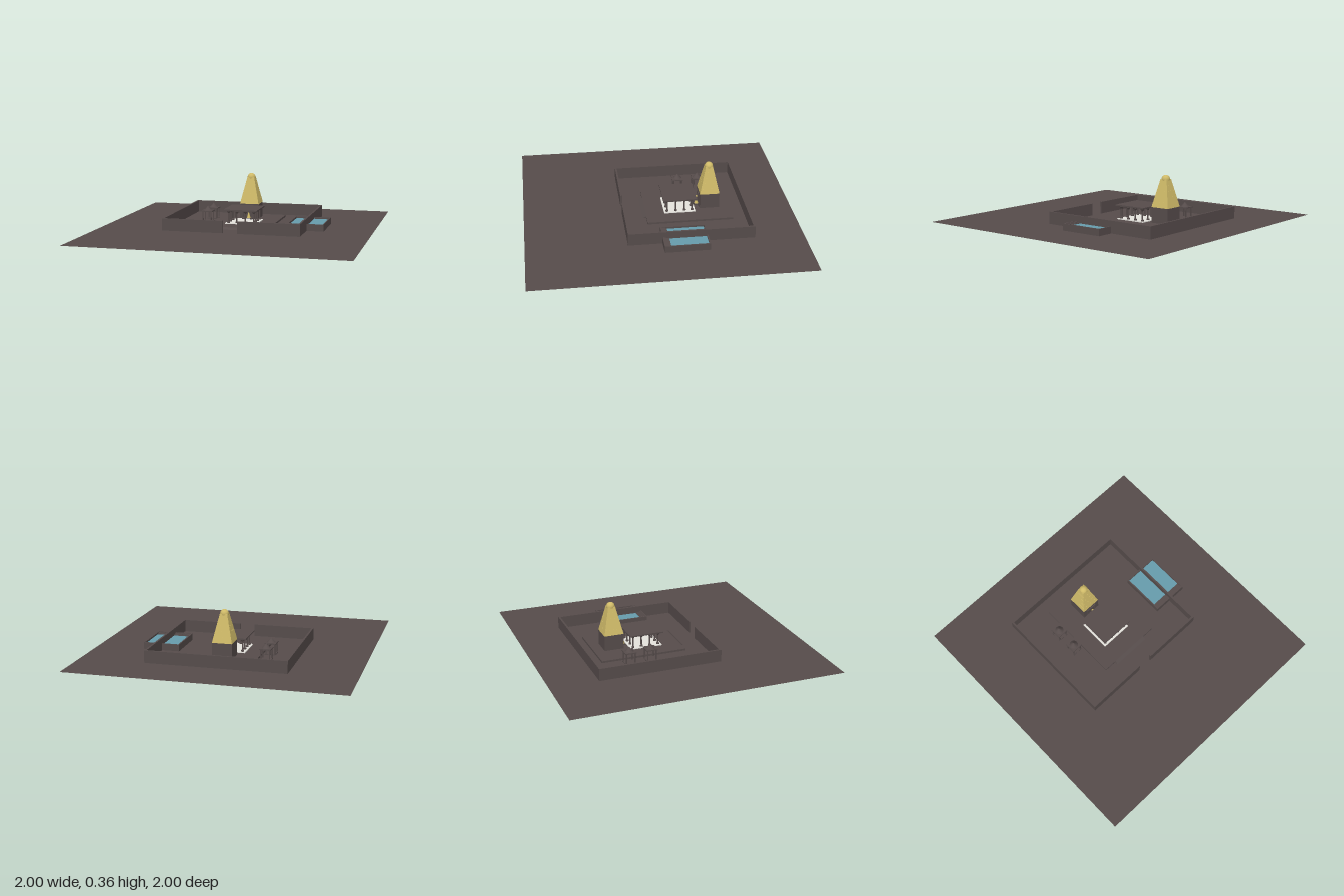
import * as THREE from 'three';

export function createModel() {
  const model = new THREE.Group();
  const material = (name, color, side = THREE.FrontSide) => {
    const m = new THREE.MeshStandardMaterial({ color, side });
    m.name = name;
    return m;
  };
  const stone = material('stone', 0x564c4b);
  const groundStone = material('groundStone', 0x564c4b, THREE.DoubleSide);
  const gold = material('gold', 0xcfba68);
  const water = material('water', 0x669cac);
  const marble = material('marble', 0xe4e2dc);

  const add = (name, geometry, mat, x = 0, y = 0, z = 0, parent = model) => {
    const mesh = new THREE.Mesh(geometry, mat);
    mesh.name = name;
    mesh.position.set(x, y, z);
    parent.add(mesh);
    return mesh;
  };
  // Box given by its lower and upper limits
  const block = (name, mat, x0, x1, y0, y1, z0, z1, parent = model) =>
    add(name, new THREE.BoxGeometry(x1 - x0, y1 - y0, z1 - z0), mat,
      (x0 + x1) / 2, (y0 + y1) / 2, (z0 + z1) / 2, parent);
  // Square frustum given by its side lengths
  const frustum = (bottom, top, h) => {
    const g = new THREE.CylinderGeometry(top * Math.SQRT1_2, bottom * Math.SQRT1_2, h, 4).toNonIndexed();
    g.rotateY(Math.PI / 4);
    g.computeVertexNormals();
    return g;
  };
  const group = (name, x = 0, y = 0, z = 0) => {
    const g = new THREE.Group();
    g.name = name;
    g.position.set(x, y, z);
    model.add(g);
    return g;
  };

  // Flat ground
  add('ground', new THREE.PlaneGeometry(2, 2).rotateX(-Math.PI / 2), groundStone);

  // Enclosure wall with a gate gap at the front
  const wall = group('enclosureWall');
  const t = 0.014, wallH = 0.09;
  block('backWall', stone, -0.515, 0.515, 0, wallH, -0.645, -0.645 + t, wall);
  for (const s of [-1, 1]) {
    const a = s * 0.515, b = s * (0.515 - t);
    block('sideWall', stone, Math.min(a, b), Math.max(a, b), 0, wallH, -0.645 + t, 0.275, wall);
    const c = s * 0.055;
    block('frontWall', stone, Math.min(b, c), Math.max(b, c), 0, wallH, 0.275 - t, 0.275, wall);
  }

  // Low platform with a shallow ramp
  const floorY = 0.014;
  block('platform', stone, -0.24, 0.24, 0, floorY, -0.537, 0.103);
  const rampShape = new THREE.Shape([
    new THREE.Vector2(0, 0), new THREE.Vector2(0.024, 0), new THREE.Vector2(0, floorY)]);
  const ramp = new THREE.ExtrudeGeometry(rampShape, { depth: 0.29, bevelEnabled: false });
  ramp.rotateY(-Math.PI / 2);
  add('ramp', ramp, stone, 0.145, 0, 0.103);

  // Pillared hall
  const hall = group('pillaredHall', 0, 0, -0.155);
  block('hallFloor', marble, -0.12, 0.12, floorY, floorY + 0.006, -0.12, 0.12, hall);
  block('hallRoof', stone, -0.128, 0.128, 0.114, 0.124, -0.128, 0.128, hall);
  const pillarShape = [[0.011, 0], [0.011, 0.01], [0.006, 0.014], [0.006, 0.075], [0.014, 0.088], [0.014, 0.095]]
    .map(([r, y]) => new THREE.Vector2(r, y));
  const pillarGeo = new THREE.LatheGeometry(pillarShape, 8).toNonIndexed();
  pillarGeo.computeVertexNormals();
  for (let i = 0; i < 4; i++) {
    for (let j = 0; j < 4; j++) {
      if (j > 0 && j < 3 && i > 0 && i < 3) continue;
      add('pillar', pillarGeo, stone, -0.097 + i * 0.0647, floorY + 0.005, -0.097 + j * 0.0647, hall);
    }
  }

  // Shrine with doorway and figure
  const shrine = group('shrine', 0, 0, -0.388);
  block('shrineBase', stone, -0.073, 0.073, floorY, 0.128, -0.073, 0.073, shrine);
  for (const s of [-1, 1]) {
    block('doorPost', stone, s * 0.036 - 0.005, s * 0.036 + 0.005, floorY, 0.1, 0.073, 0.081, shrine);
  }
  block('doorLintel', stone, -0.041, 0.041, 0.1, 0.11, 0.073, 0.081, shrine);
  add('figureBody', new THREE.ConeGeometry(0.015, 0.05, 10), gold, 0, 0.047, 0.09, shrine);
  add('figureHead', new THREE.SphereGeometry(0.009, 10, 8), gold, 0, 0.078, 0.09, shrine);
  block('figurePedestal', stone, -0.02, 0.02, floorY, 0.022, 0.073, 0.107, shrine);

  // Stepped golden tower
  const tierH = 0.0405;
  for (let i = 0; i < 5; i++) {
    const w = 0.146 - i * 0.0185;
    add('towerTier', frustum(w, w - 0.017, tierH), gold, 0, 0.128 + tierH * (i + 0.5), 0, shrine);
  }
  add('towerDome', new THREE.SphereGeometry(0.031, 20, 14), gold, 0, 0.33, 0, shrine);

  // Two small pavilions
  for (const z of [-0.35, -0.19]) {
    const pavilion = group('pavilion', -0.295, 0, z);
    block('pavilionFloor', stone, -0.04, 0.04, 0, 0.006, -0.04, 0.04, pavilion);
    block('pavilionSlab', stone, -0.042, 0.042, 0.08, 0.088, -0.042, 0.042, pavilion);
    for (const sx of [-1, 1]) {
      for (const sz of [-1, 1]) {
        add('pavilionPost', new THREE.CylinderGeometry(0.005, 0.005, 0.076, 8), stone,
          sx * 0.032, 0.043, sz * 0.032, pavilion);
      }
    }
    add('pavilionCone', new THREE.ConeGeometry(0.032, 0.034, 12), stone, 0, 0.105, 0, pavilion);
  }

  // Water tank with steps at its front end
  const tank = group('waterTank');
  const rim = 0.009, tankH = 0.05;
  block('tankSide', stone, 0.37, 0.37 + rim, 0, tankH, -0.302, 0.03, tank);
  block('tankSide', stone, 0.642 - rim, 0.642, 0, tankH, -0.302, 0.03, tank);
  block('tankBack', stone, 0.37 + rim, 0.642 - rim, 0, tankH, -0.302, -0.302 + rim, tank);
  block('water', water, 0.37 + rim, 0.642 - rim, 0, 0.037, -0.302 + rim, -0.018, tank);
  for (let i = 0; i < 4; i++) {
    block('tankStep', stone, 0.37 + rim, 0.642 - rim, 0, 0.041 + i * 0.003,
      -0.018 + i * 0.012, -0.006 + i * 0.012, tank);
  }
  return model;
}
